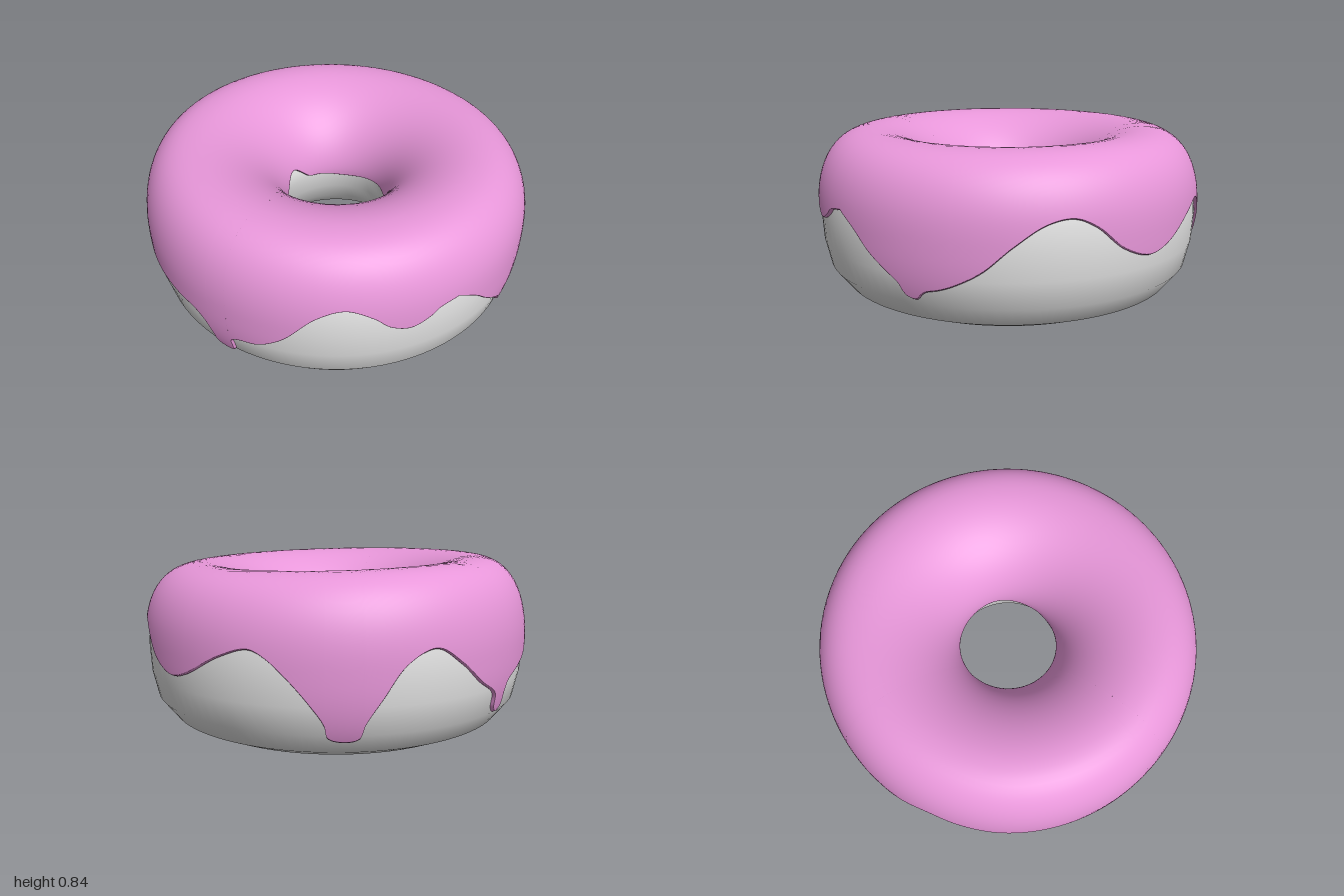
import * as THREE from 'three';

// Lower rim of the icing on the outside: [degrees from the front towards +x, height]
const RIM = [
  [-6.5, 0.515], [0, 0.45], [6, 0.36], [12, 0.285], [15, 0.245], [16.3, 0.205], [17.5, 0.185],
  [20, 0.18], [21.5, 0.205], [23, 0.222], [26, 0.235], [30, 0.26], [37.5, 0.33], [45, 0.44],
  [53, 0.53], [60, 0.552], [66, 0.51], [74, 0.4], [83, 0.345], [90, 0.37], [102, 0.475],
  [110.5, 0.52], [115, 0.49], [121, 0.4], [126, 0.3], [129.5, 0.21], [130.5, 0.145],
  [134.5, 0.125], [138.5, 0.14], [140, 0.21], [144, 0.32], [150, 0.46], [158, 0.52],
  [166, 0.44], [173, 0.34], [180, 0.26], [181, 0.19], [183, 0.16], [185, 0.18], [185.5, 0.25],
  [187, 0.3], [194, 0.345], [202, 0.39], [210, 0.49], [217, 0.53], [225, 0.48], [239, 0.375],
  [255, 0.375], [270, 0.365], [279, 0.345], [282.5, 0.29], [284, 0.22], [284.5, 0.165],
  [287, 0.148], [290, 0.16], [290.3, 0.2], [290.5, 0.25], [293, 0.28], [299, 0.3],
  [306, 0.375], [315, 0.53], [322.5, 0.575], [329.5, 0.525], [334, 0.46], [339.5, 0.43],
  [345, 0.465], [347.5, 0.495], [353.5, 0.515],
];

// Rim of the icing inside the hole
const INNER_RIM = [
  [-9, 0.32], [24, 0.38], [75, 0.42], [130, 0.39], [170, 0.41], [199, 0.5],
  [230, 0.41], [278, 0.43], [315, 0.38], [351, 0.32],
];

function innerRim(deg) {
  const d = THREE.MathUtils.euclideanModulo(deg + 9, 360) - 9;
  const i = Math.max(1, INNER_RIM.findIndex(([a]) => a >= d));
  const [a0, y0] = INNER_RIM[i - 1], [a1, y1] = INNER_RIM[i];
  return THREE.MathUtils.lerp(y0, y1, THREE.MathUtils.smoothstep(d, a0, a1));
}

// Icing cross-section around its crest: full on the outside, sloping like a funnel
// into the hole. Angle 0 = outer side, PI = hole side.
const CREST = 0.71, MID = 0.42;
const OUTER = { width: 0.288, power: 2.4 }, INNER = { width: 0.448, power: 1.8 };
const halfHeight = (s) => (s < 0 ? 0.455 : 0.405);
const signedPow = (v, p) => Math.sign(v) * Math.abs(v) ** p;
function icingPoint(a) {
  const s = Math.sin(a), c = Math.cos(a);
  const { width, power } = c > 0 ? OUTER : INNER;
  return [CREST + width * signedPow(c, 2 / power), MID + halfHeight(s) * signedPow(s, 2 / power)];
}
function angleAtHeight(y, { power }) {
  const d = y - MID;
  return Math.asin(signedPow(d / halfHeight(d), power / 2));
}

function icingGeometry() {
  const rim = new THREE.CatmullRomCurve3(
    RIM.map(([deg, y]) => new THREE.Vector3(THREE.MathUtils.degToRad(deg), y, 0)));
  const cols = 560, rows = 44;
  const positions = [], indices = [];
  let perColumn = 0;

  for (let c = 0; c < cols; c++) {
    const { x: theta, y: edge } = rim.getPoint(c / cols);
    const a0 = angleAtHeight(edge, OUTER);
    const a1 = Math.PI - angleAtHeight(innerRim(THREE.MathUtils.radToDeg(theta)), INNER);
    const section = [];
    // rows crowd together near both rims so the lips stay crisp
    for (let i = 0; i <= rows; i++) {
      const t = 0.5 - 0.5 * Math.cos((Math.PI * i) / rows);
      section.push(icingPoint(a0 + (a1 - a0) * t));
    }
    // rounded lips that turn back into the dough
    const [or, oy] = section[0], [ir, iy] = section[rows];
    section.unshift([or - 0.06, oy - 0.002], [or - 0.01, oy - 0.006]);
    section.push([ir + 0.01, iy - 0.006], [ir + 0.06, iy - 0.002]);
    perColumn = section.length;

    for (const [r, y] of section) {
      const x = r * Math.sin(theta), z = r * Math.cos(theta);
      // the top leans slightly towards the front and the left
      const lean = 0.018 * (x + z) * Math.max(0, (y - 0.55) / 0.28);
      positions.push(x, y - lean, z);
    }
  }
  for (let c = 0; c < cols; c++) {
    for (let i = 0; i < perColumn - 1; i++) {
      const a = c * perColumn + i, b = ((c + 1) % cols) * perColumn + i;
      indices.push(a, b, b + 1, a, b + 1, a + 1);
    }
  }
  const geometry = new THREE.BufferGeometry();
  geometry.setAttribute('position', new THREE.Float32BufferAttribute(positions, 3));
  geometry.setIndex(indices);
  geometry.computeVertexNormals();
  return geometry;
}

function doughGeometry() {
  // closed cross-section [radius, height]: up the outside, down through the hole
  const loop = [
    [0.63, 0], [0.76, 0], [0.87, 0.05], [0.948, 0.15], [0.977, 0.28], [0.984, 0.41],
    [0.976, 0.52], [0.95, 0.63], [0.91, 0.695], [0.83, 0.755], [0.73, 0.785],
    [0.63, 0.775], [0.53, 0.74], [0.43, 0.67], [0.36, 0.59], [0.315, 0.52], [0.292, 0.45],
    [0.285, 0.39], [0.305, 0.28], [0.355, 0.17], [0.43, 0.08], [0.53, 0.02], [0.63, 0],
  ];
  return new THREE.LatheGeometry(loop.map(([r, y]) => new THREE.Vector2(r, y)), 96);
}

export function createModel() {
  const doughMaterial = new THREE.MeshStandardMaterial({ color: 0xe3e3e3 });
  doughMaterial.name = 'pale dough';
  const icingMaterial = new THREE.MeshStandardMaterial({ color: 0xe897da });
  icingMaterial.name = 'pink icing';

  const dough = new THREE.Mesh(doughGeometry(), doughMaterial);
  dough.name = 'dough';
  const icing = new THREE.Mesh(icingGeometry(), icingMaterial);
  icing.name = 'icing';

  const group = new THREE.Group();
  group.name = 'doughnut';
  group.add(dough, icing);
  return group;
}
